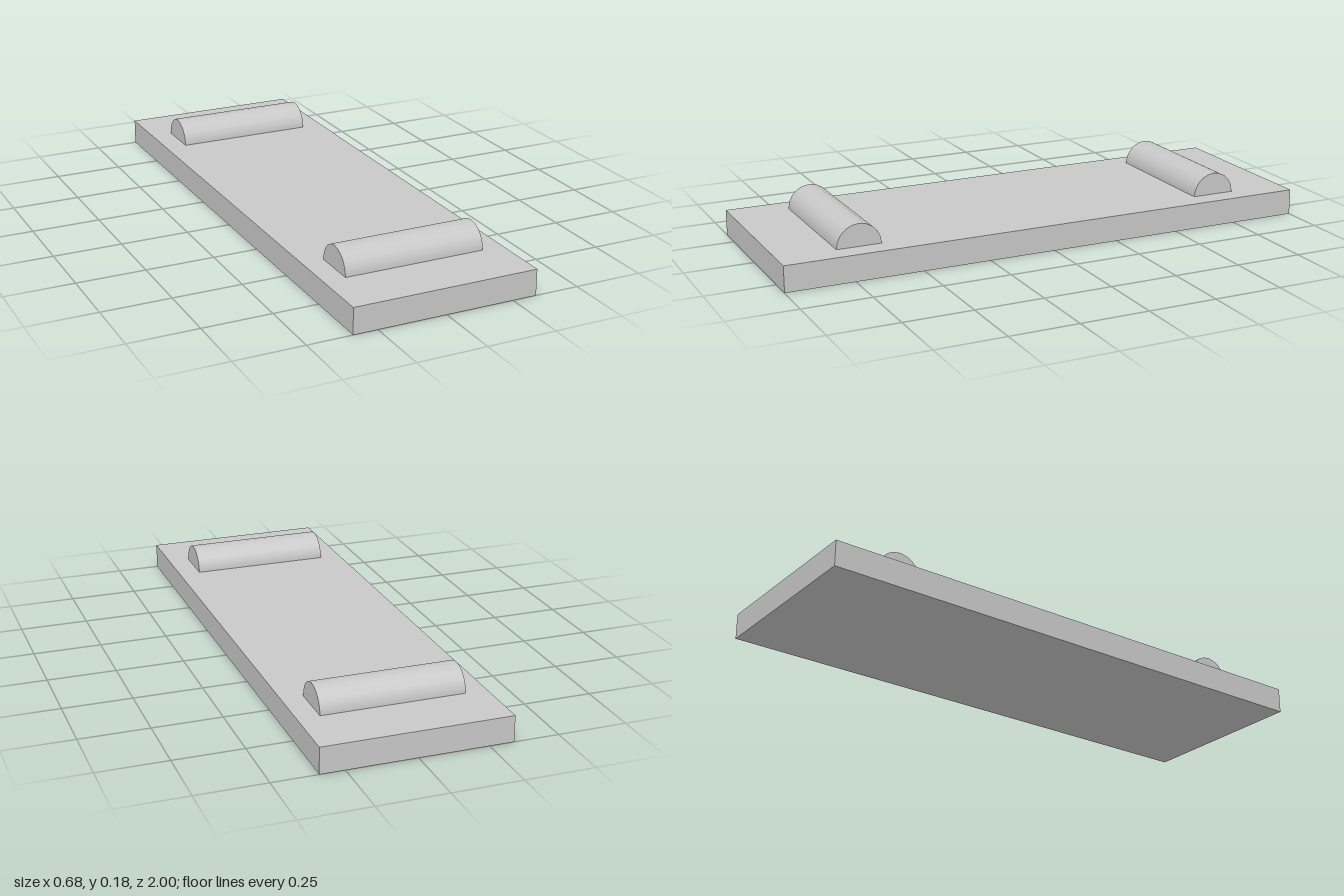
import * as THREE from 'three';

export function createModel() {
  const model = new THREE.Group();
  const lightGrey = new THREE.MeshStandardMaterial({ color: 0xc8c8c8 });
  lightGrey.name = 'lightGrey';

  const slabHeight = 0.095;

  // Flat base slab
  const slab = new THREE.Mesh(new THREE.BoxGeometry(0.676, slabHeight, 2), lightGrey);
  slab.name = 'slab';
  slab.position.y = slabHeight / 2;
  model.add(slab);

  // Two round bars, sunk to half their depth in the slab, lying along x
  const barGeometry = new THREE.CylinderGeometry(0.082, 0.082, 0.517, 20);
  barGeometry.rotateZ(Math.PI / 2);
  for (const [name, side] of [['frontBar', 1], ['backBar', -1]]) {
    const bar = new THREE.Mesh(barGeometry, lightGrey);
    bar.name = name;
    bar.position.set(0, slabHeight, side * 0.706);
    model.add(bar);
  }

  return model;
}
